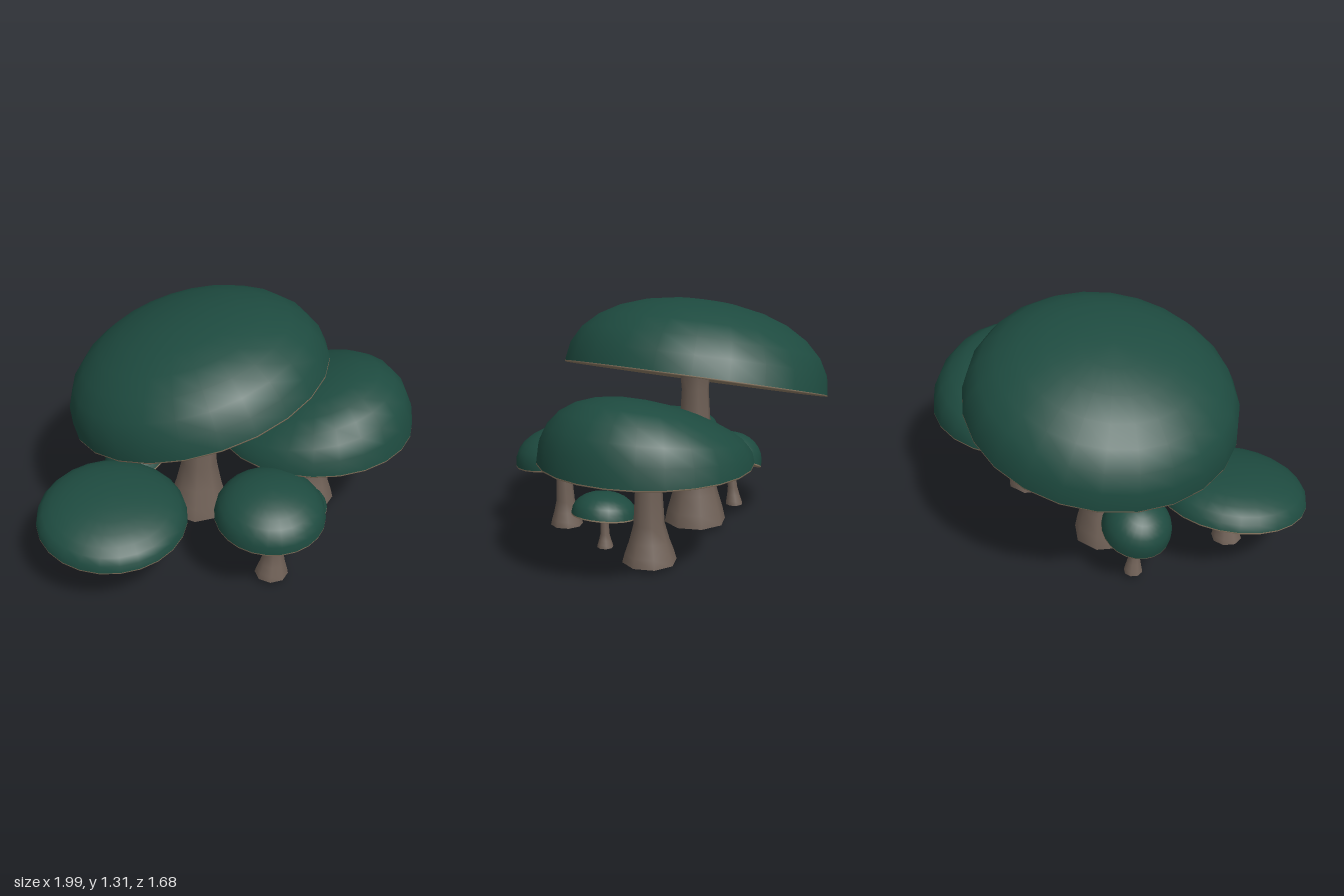
import * as THREE from 'three';
import { mergeGeometries, mergeVertices } from 'three/addons/utils/BufferGeometryUtils.js';

const mat = (name, color, side = THREE.FrontSide) => {
  const m = new THREE.MeshStandardMaterial({ color, side });
  m.name = name;
  return m;
};

const V2 = (x, y) => new THREE.Vector2(x, y);

function mesh(name, geometry, material) {
  const m = new THREE.Mesh(geometry, material);
  m.name = name;
  return m;
}

// Close the lathe seam and shade smoothly all round
function smooth(g) {
  g.deleteAttribute('uv');
  g.deleteAttribute('normal');
  const merged = mergeVertices(g, 1e-5);
  merged.computeVertexNormals();
  return merged;
}

// Slightly full half-ellipsoid dome; lean makes the +x side taller than the -x side
function domeGeometry(R, H, lean) {
  const pts = [];
  for (let i = 0; i <= 7; i++) {
    const t = (i / 7) * Math.PI / 2;
    pts.push(V2(i === 7 ? 0 : R * Math.cos(t) ** 0.93, H * Math.sin(t) ** 0.95));
  }
  const g = new THREE.LatheGeometry(pts, 24);
  const p = g.attributes.position;
  for (let i = 0; i < p.count; i++) p.setY(i, p.getY(i) * (1 + lean * p.getX(i) / R));
  return smooth(g);
}

// Hollow underside
function undersideGeometry(R, D) {
  const pts = [];
  for (let i = 0; i <= 8; i++) {
    const r = i / 8;
    pts.push(V2(r * R * 0.99, D * (1 - r * r) - 0.008 * r));
  }
  return new THREE.LatheGeometry(pts, 24);
}

// Thin lip around the rim
function lipGeometry(R) {
  return new THREE.LatheGeometry([V2(R * 0.99, -0.008), V2(R, -0.007), V2(R, 0)], 24);
}

// Irregular dark radial streaks lying just below the hollow
function gillGeometry(R, D, seed) {
  let s = seed;
  const rnd = () => (s = (s * 16807) % 2147483647) / 2147483647;
  const strips = [];
  const count = 18;
  for (let k = 0; k < count; k++) {
    const angle = ((k + rnd() * 0.7) / count) * Math.PI * 2;
    const start = k % 2 ? 0.12 : 0.5 + rnd() * 0.2;
    const end = Math.min(0.96, start + 0.2 + rnd() * 0.3);
    const width = R * (0.03 + rnd() * 0.025);
    const g = new THREE.PlaneGeometry(1, 1, 4, 1);
    const p = g.attributes.position;
    for (let i = 0; i < p.count; i++) {
      const f = p.getX(i) + 0.5;
      const r = start + (end - start) * f;
      const taper = 0.6 + 0.4 * Math.sin(Math.PI * f);
      p.setXYZ(i, r * R, D * (1 - r * r) - 0.008 * R - 0.008 * r - 0.001, p.getY(i) * width * taper);
    }
    g.rotateX(Math.PI);
    g.scale(1, -1, -1);
    g.rotateY(angle);
    g.computeVertexNormals();
    strips.push(g);
  }
  return mergeGeometries(strips);
}

// Stem: flared foot, slim middle, slight flare into the cap; bends from base to top
const STEM = [[0, 1], [0.07, 0.91], [0.17, 0.74], [0.3, 0.57], [0.55, 0.5], [0.75, 0.43], [0.9, 0.52], [1, 0.68]];

function stemGeometry(base, top, r) {
  const h = top[1] - base[1];
  const g = new THREE.LatheGeometry(STEM.map(([t, k]) => V2(r * k, h * t)), 8);
  const p = g.attributes.position;
  for (let i = 0; i < p.count; i++) {
    const t = p.getY(i) / h;
    const e = Math.min(1, t * 1.6);
    p.setXYZ(i,
      p.getX(i) + base[0] + (top[0] - base[0]) * e,
      p.getY(i) + base[1],
      p.getZ(i) + base[2] + (top[2] - base[2]) * e);
  }
  return smooth(g);
}

// center: middle of the cap rim; slope: rise of the rim plane along x and z;
// foot: middle of the stem's base; head: x and z of the stem's top
const MUSHROOMS = [
  { name: 'largeMushroom', center: [-0.185, 0.857, -0.115], R: 0.722, H: 0.425, slope: [0.266, -0.014], lean: 0, foot: [-0.205, 0.03, -0.105], footR: 0.175, head: [-0.182, -0.115] },
  { name: 'tallMushroom', center: [0.448, 0.57, -0.225], R: 0.546, H: 0.303, slope: [0.025, 0], lean: 0.55, foot: [0.435, 0.025, -0.24], footR: 0.142, head: [0.453, -0.248] },
  { name: 'wideMushroom', center: [-0.6, 0.347, 0.45], R: 0.4, H: 0.158, slope: [-0.04, -0.128], lean: 0, foot: [-0.58, 0.03, 0.45], footR: 0.083, head: [-0.568, 0.45] },
  { name: 'frontMushroom', center: [0.233, 0.417, 0.448], R: 0.292, H: 0.18, slope: [-0.04, -0.135], lean: 0, foot: [0.248, 0.025, 0.458], footR: 0.09, head: [0.268, 0.455] },
  { name: 'tinyMushroom', center: [0.366, 0.187, 0.105], R: 0.174, H: 0.122, slope: [0.14, 0], lean: 0, foot: [0.358, 0, 0.105], footR: 0.044, head: [0.36, 0.105] },
  { name: 'backMushroom', center: [-0.555, 0.302, -0.12], R: 0.186, H: 0.165, slope: [0.42, 0], lean: 0, foot: [-0.57, 0.03, -0.145], footR: 0.05, head: [-0.56, -0.125] },
];

export function createModel() {
  const capMat = mat('capGreen', 0x1e4b40);
  const stemMat = mat('stemBrown', 0x706157);
  const underMat = mat('undersideTan', 0x8f7d66);
  const gillMat = mat('gillDark', 0x544a40, THREE.DoubleSide);

  const model = new THREE.Group();
  model.name = 'mushroomCluster';

  MUSHROOMS.forEach((m, i) => {
    const group = new THREE.Group();
    group.name = m.name;
    const D = m.H * 0.46;

    // Tilted cap
    const cap = new THREE.Group();
    cap.name = 'cap';
    cap.add(
      mesh('capDome', domeGeometry(m.R, m.H, m.lean), capMat),
      mesh('capUnderside', undersideGeometry(m.R, D), underMat),
      mesh('capLip', lipGeometry(m.R), underMat),
      mesh('gills', gillGeometry(m.R, D, 1234 + i * 777), gillMat));
    const normal = new THREE.Vector3(-m.slope[0], 1, -m.slope[1]).normalize();
    cap.quaternion.setFromUnitVectors(new THREE.Vector3(0, 1, 0), normal);
    cap.position.set(...m.center);

    // Stem reaching into the hollow of the cap, closed below
    const top = [m.head[0], m.center[1] + D, m.head[1]];
    const foot = mesh('stemFoot', new THREE.CircleGeometry(m.footR, 8).rotateX(Math.PI / 2), stemMat);
    foot.position.set(...m.foot);
    group.add(cap, mesh('stem', stemGeometry(m.foot, top, m.footR), stemMat), foot);
    model.add(group);
  });
  return model;
}
